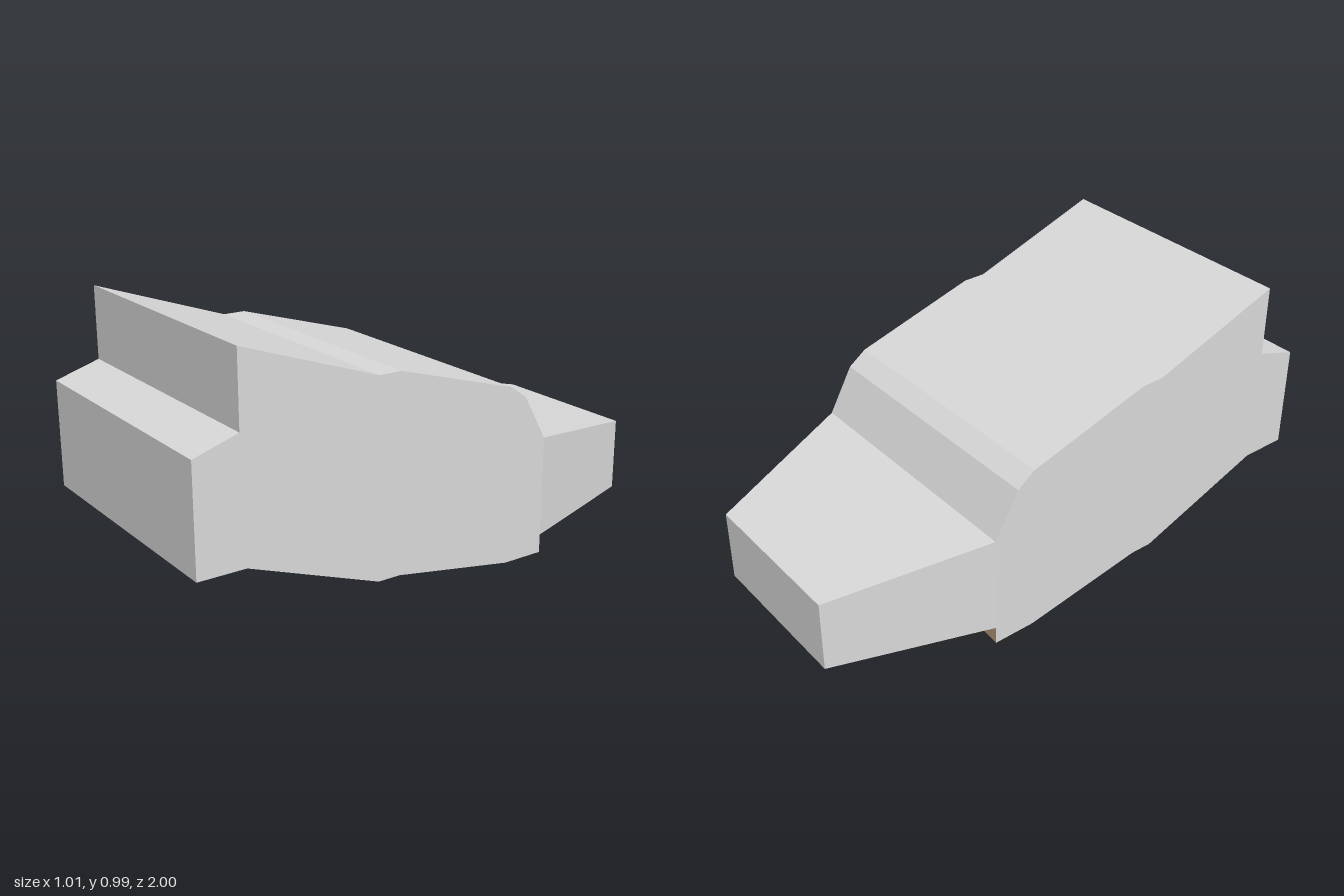
import * as THREE from 'three';

const W = 0.507; // half width of the body

// Flat-faced mesh from convex polygons, corners counter-clockwise from outside
function facets(name, polygons, material) {
  const pos = [];
  for (const p of polygons)
    for (let i = 1; i < p.length - 1; i++) pos.push(...p[0], ...p[i], ...p[i + 1]);
  const g = new THREE.BufferGeometry();
  g.setAttribute('position', new THREE.Float32BufferAttribute(pos, 3));
  g.computeVertexNormals();
  const m = new THREE.Mesh(g, material);
  m.name = name;
  return m;
}

// Strips across the full width along a [z, y] line
function strips(line) {
  return line.slice(1).map(([z1, y1], i) => {
    const [z0, y0] = line[i];
    return [[-W, y0, z0], [W, y0, z0], [W, y1, z1], [-W, y1, z1]];
  });
}

export function createModel() {
  const group = new THREE.Group();
  const grey = new THREE.MeshStandardMaterial({ color: 0xd8d8d8, side: THREE.DoubleSide });
  grey.name = 'light grey';
  const tan = new THREE.MeshStandardMaterial({ color: 0xbc9c7c, side: THREE.DoubleSide });
  tan.name = 'tan';
  const black = new THREE.MeshStandardMaterial({ color: 0x000000 });
  black.name = 'black';

  // Body outline in [z, y]: front and top, then underside
  const upper = [[1, 0.265], [1, 0.665], [0.833, 0.718], [0.833, 0.99], [0.31, 0.81],
    [0.222, 0.81], [-0.26, 0.67], [-0.33, 0.62], [-0.425, 0.45]];
  const lower = [[-0.26, 0], [0.222, 0.08], [0.31, 0.08], [0.82, 0.265], [1, 0.265]];
  group.add(facets('bodyTop', strips(upper), grey));
  group.add(facets('underside', strips(lower), tan));

  // Body side walls
  const outline = [...upper, [-0.425, 0], ...lower.slice(0, -1)];
  const wall = new THREE.ShapeGeometry(new THREE.Shape(outline.map(([z, y]) => new THREE.Vector2(-z, y))));
  for (const side of [-1, 1]) {
    const m = new THREE.Mesh(wall, grey);
    m.name = side > 0 ? 'leftWall' : 'rightWall';
    m.rotation.y = Math.PI / 2;
    m.position.x = side * W;
    group.add(m);
  }

  // Rear underside ledge with a shallow V-shaped step up to the tail
  const B = -0.425, N = -0.385, S = 0.07;
  group.add(facets('rearLedge', [
    [[0, 0, N], [-W, 0, B], [-W, 0, -0.26], [W, 0, -0.26], [W, 0, B]],
    [[0, 0, N], [0, S, N], [-W, S, B], [-W, 0, B]].reverse(),
    [[W, 0, B], [W, S, B], [0, S, N], [0, 0, N]].reverse(),
  ], tan));

  // Tapered tail
  const T = 0.31, H0 = 0.45, H1 = 0.35;
  group.add(facets('tail', [
    [[-W, H0, B], [W, H0, B], [T, H1, -1], [-T, H1, -1]],
    [[T, S, -1], [-T, S, -1], [-T, H1, -1], [T, H1, -1]],
    [[W, S, B], [T, S, -1], [T, H1, -1], [W, H0, B]],
    [[-T, S, -1], [-W, S, B], [-W, H0, B], [-T, H1, -1]],
  ], grey));
  group.add(facets('tailFloor', [
    [[0, S, N], [-W, S, B], [-T, S, -1], [T, S, -1], [W, S, B]].reverse(),
  ], tan));

  // Rows of small pegs on the two sloping undersides
  const slopes = [
    { rows: [0.79, 0.707, 0.623, 0.54], z0: 0.31, y0: 0.08, k: 0.185 / 0.51 },
    { rows: [0.19, 0.107, 0.023, -0.06, -0.143, -0.226], z0: -0.26, y0: 0, k: 0.08 / 0.482 },
  ];
  const spots = slopes.flatMap(({ rows, z0, y0, k }) => rows.map(z => [z, y0 + (z - z0) * k, Math.atan(k)]));
  const pegs = new THREE.Group();
  pegs.name = 'pegs';
  const peg = new THREE.BoxGeometry(0.006, 0.006, 0.025);
  for (const [z, y, tilt] of spots)
    for (let i = 0; i < 18; i++) {
      const m = new THREE.Mesh(peg, black);
      m.name = 'peg';
      m.position.set(-0.455 + i * 0.052, y, z);
      m.rotation.x = -tilt;
      pegs.add(m);
    }
  group.add(pegs);
  return group;
}
